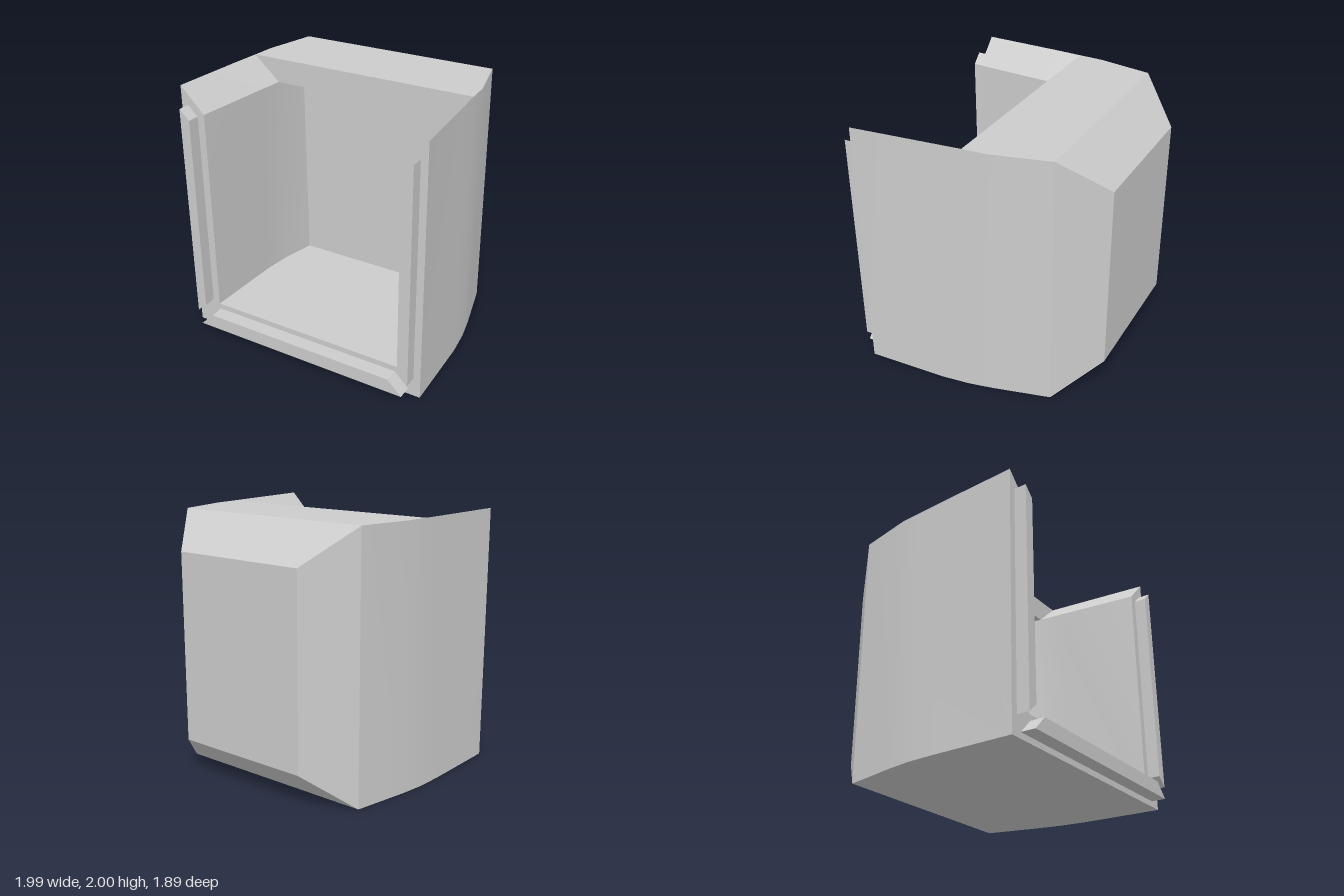
import * as THREE from 'three';
import { toCreasedNormals } from 'three/addons/utils/BufferGeometryUtils.js';

const material = new THREE.MeshStandardMaterial({ color: 0xcccccc });

// Collects four-cornered faces, each turned to face the direction "out"
function faceMesh(name, build) {
  const pos = [];
  const quad = (a, b, c, d, out) => {
    const [A, B, C, D] = [a, b, c, d].map((p) => new THREE.Vector3(...p));
    const n = C.clone().sub(A).cross(D.clone().sub(B));
    const order = n.dot(new THREE.Vector3(...out)) >= 0 ? [A, B, C, A, C, D] : [A, C, B, A, D, C];
    order.forEach((p) => pos.push(p.x, p.y, p.z));
  };
  build(quad);
  const geo = new THREE.BufferGeometry();
  geo.setAttribute('position', new THREE.Float32BufferAttribute(pos, 3));
  const mesh = new THREE.Mesh(toCreasedNormals(geo, 0.5), material);
  mesh.name = name;
  return mesh;
}

// Wall outlines from front to back; the walls taper a little differently on each side
const outerZ = [0.835, 0.2, -0.01, -0.2, -0.63];
const innerZ = [0.835, 0.2, -0.01, -0.3];
const sides = {
  rightWall: {
    s: -1,
    outerLow: [-0.995, -0.99, -0.98, -0.95, -0.86], outerTop: [-0.995, -0.968, -0.955, -0.945, -0.86],
    innerLow: [-0.8, -0.78, -0.755, -0.69], innerTop: [-0.8, -0.757, -0.74, -0.7],
  },
  leftWall: {
    s: 1,
    outerLow: [0.99, 0.965, 0.94, 0.9, 0.79], outerTop: [0.99, 0.93, 0.91, 0.897, 0.79],
    innerLow: [0.8, 0.79, 0.73, 0.635], innerTop: [0.8, 0.725, 0.7, 0.645],
  },
};
const L = sides.rightWall, R = sides.leftWall;
const H = 2, FLOOR = 0.2, CEIL = 1.81;
const BACK = { z: -0.945, x0: -0.575, x1: 0.53, y0: 0.28, y1: 1.73 };

// Mitred bar set on the front face
function trim(name, points, depth) {
  const shape = new THREE.Shape(points.map(([x, y]) => new THREE.Vector2(x, y)));
  const geo = new THREE.ExtrudeGeometry(shape, { depth, bevelEnabled: false });
  const mesh = new THREE.Mesh(geo, material);
  mesh.name = name;
  mesh.position.z = 0.83;
  return mesh;
}

export function createModel() {
  const group = new THREE.Group();
  group.name = 'openCabinet';

  // Side walls: outer skin, inner skin, sloping mitred top, front edge
  for (const [name, w] of Object.entries(sides)) {
    group.add(faceMesh(name, (quad) => {
      for (let i = 0; i < 4; i++) {
        const z = outerZ[i], y = outerZ[i + 1];
        quad([w.outerLow[i], 0, z], [w.outerLow[i + 1], 0, y],
          [w.outerTop[i + 1], H, y], [w.outerTop[i], H, z], [w.s, 0, 0]);
      }
      for (let i = 0; i < 3; i++) {
        const z = innerZ[i], zn = innerZ[i + 1];
        quad([w.innerLow[i], FLOOR, z], [w.innerLow[i + 1], FLOOR, zn],
          [w.innerTop[i + 1], CEIL, zn], [w.innerTop[i], CEIL, z], [-w.s, 0, 0]);
        if (i < 2) {
          quad([w.outerTop[i], H, z], [w.outerTop[i + 1], H, zn],
            [w.innerTop[i + 1], CEIL, zn], [w.innerTop[i], CEIL, z], [0, 1, 0]);
        }
      }
      const z = outerZ[0];
      quad([w.outerLow[0], 0, z], [w.outerTop[0], H, z],
        [w.innerTop[0], CEIL, z], [w.innerLow[0], FLOOR, z], [0, 0, 1]);
    }));
  }

  // Base: underside, inner floor and front sill
  group.add(faceMesh('base', (quad) => {
    const strip = (zs, a, b, y, dir, i) =>
      quad([a[i], y, zs[i]], [b[i], y, zs[i]], [b[i + 1], y, zs[i + 1]], [a[i + 1], y, zs[i + 1]], [0, dir, 0]);
    for (let i = 0; i < 4; i++) strip(outerZ, L.outerLow, R.outerLow, 0, -1, i);
    for (let i = 0; i < 3; i++) strip(innerZ, L.innerLow, R.innerLow, FLOOR, 1, i);
    const z = outerZ[0];
    quad([L.outerLow[0], 0, z], [R.outerLow[0], 0, z],
      [R.innerLow[0], FLOOR, z], [L.innerLow[0], FLOOR, z], [0, 0, 1]);
  }));

  // Roof over the rear half: top, ceiling and front edge
  group.add(faceMesh('roof', (quad) => {
    for (let i = 2; i < 4; i++) {
      quad([L.outerTop[i], H, outerZ[i]], [R.outerTop[i], H, outerZ[i]],
        [R.outerTop[i + 1], H, outerZ[i + 1]], [L.outerTop[i + 1], H, outerZ[i + 1]], [0, 1, 0]);
    }
    const z = innerZ[2], zb = innerZ[3];
    quad([L.innerTop[2], CEIL, z], [R.innerTop[2], CEIL, z],
      [R.innerTop[3], CEIL, zb], [L.innerTop[3], CEIL, zb], [0, -1, 0]);
    quad([L.outerTop[2], H, z], [R.outerTop[2], H, z],
      [R.innerTop[2], CEIL, z], [L.innerTop[2], CEIL, z], [0, 0, 1]);
  }));

  // Back: inner panel, and the outer panel with four sloping borders
  group.add(faceMesh('back', (quad) => {
    const zi = innerZ[3];
    quad([L.innerLow[3], FLOOR, zi], [R.innerLow[3], FLOOR, zi],
      [R.innerTop[3], CEIL, zi], [L.innerTop[3], CEIL, zi], [0, 0, 1]);
    const ring = (x0, x1, y0, y1, z) => [[x0, y0, z], [x1, y0, z], [x1, y1, z], [x0, y1, z]];
    const rim = ring(L.outerLow[4], R.outerLow[4], 0, H, outerZ[4]);
    const panel = ring(BACK.x0, BACK.x1, BACK.y0, BACK.y1, BACK.z);
    for (let i = 0; i < 4; i++) {
      const j = (i + 1) % 4;
      quad(rim[i], rim[j], panel[j], panel[i], [0, 0, -1]);
    }
    quad(...panel, [0, 0, -1]);
  }));

  // Raised bars around the front opening
  for (const [name, s] of [['rightTrim', -1], ['leftTrim', 1]]) {
    const o = s < 0 ? -0.94 : 0.935;
    group.add(trim(name, [[o, 0.15], [o, 1.86], [s * 0.86, 1.785], [s * 0.86, 0.22]], 0.1));
  }
  group.add(trim('bottomTrim', [[-0.9, 0.045], [0.895, 0.045], [0.785, 0.155], [-0.79, 0.155]], 0.115));

  return group;
}
